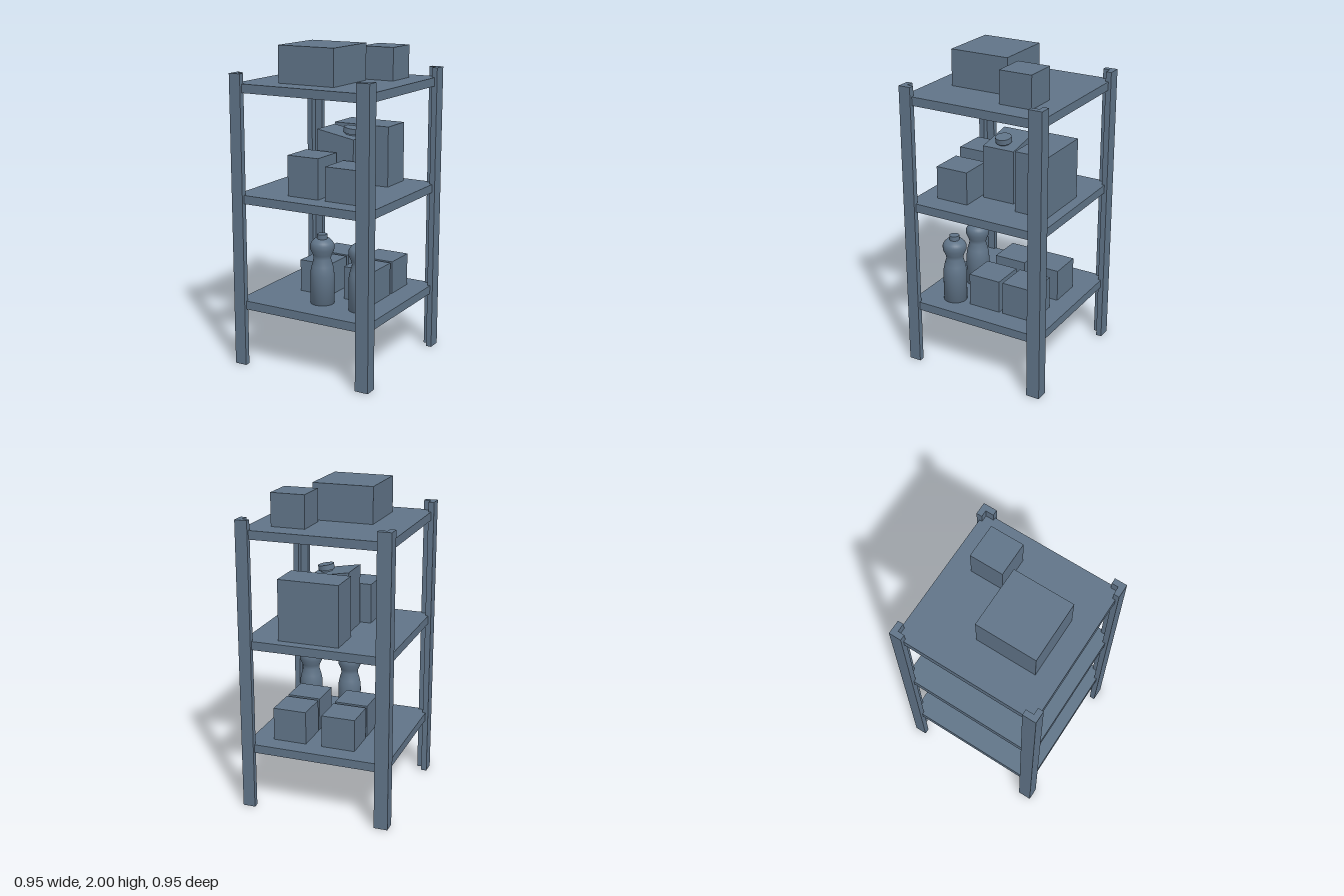
import * as THREE from 'three';

const slate = new THREE.MeshStandardMaterial({ color: 0x607488 });
slate.name = 'slate blue';

export function createModel() {
  const model = new THREE.Group();
  model.name = 'storageRack';

  const add = (name, geometry, parent = model) => {
    const mesh = new THREE.Mesh(geometry, slate);
    mesh.name = name;
    parent.add(mesh);
    return mesh;
  };

  // Box given by its extents along each axis
  const box = (name, x0, x1, y0, y1, z0, z1) =>
    add(name, new THREE.BoxGeometry(x1 - x0, y1 - y0, z1 - z0))
      .position.set((x0 + x1) / 2, (y0 + y1) / 2, (z0 + z1) / 2);

  // Upright shape extruded from a list of points
  const extrude = (points, depth) => new THREE.ExtrudeGeometry(
    new THREE.Shape(points.map(([x, y]) => new THREE.Vector2(x, y))),
    { depth, bevelEnabled: false });

  // Four angle-section posts, each a quarter turn from the last
  const o = 0.476, t = 0.036;
  const postGeometry = extrude([
    [-o, o], [-o, 0.398], [-o + t, 0.398], [-o + t, o - t], [-0.389, o - t], [-0.389, o],
  ], 1.835).rotateX(-Math.PI / 2);
  for (let i = 0; i < 4; i++) add('cornerPost', postGeometry).rotation.y = i * Math.PI / 2;

  // Shelves
  const levels = [0.42, 1.096, 1.774];
  for (const y of levels) box('shelf', -0.458, 0.458, y - 0.054, y, -0.458, 0.458);
  const [low, mid, high] = levels;

  // Boxes on the top shelf
  box('largeTopBox', -0.23, 0.153, high, 2, -0.067, 0.318);
  box('smallTopBox', 0.102, 0.316, high, 1.976, -0.32, -0.108);

  // Boxes on the middle shelf
  box('middleBoxRight', -0.16, 0.054, mid, 1.348, 0.121, 0.335);
  box('middleBoxLeft', 0.102, 0.316, mid, 1.305, 0.121, 0.335);
  box('tallBackBox', -0.132, 0.252, mid, 1.478, -0.392, -0.176);

  // Canister with a sloping top and a tilted cap
  const canister = new THREE.Group();
  canister.name = 'canister';
  model.add(canister);
  add('canisterBody', extrude([[-0.095, mid], [0.16, mid], [0.16, 1.433], [-0.095, 1.478]], 0.212), canister)
    .position.z = -0.112;
  const cap = new THREE.Group();
  cap.name = 'canisterCap';
  cap.position.set(0.085, 1.446, -0.003);
  cap.rotation.z = -Math.atan2(0.045, 0.255);
  canister.add(cap);
  add('capNeck', new THREE.CylinderGeometry(0.038, 0.038, 0.02, 24), cap).position.y = 0.003;
  add('capLid', new THREE.CylinderGeometry(0.05, 0.05, 0.034, 24), cap).position.y = 0.027;

  // Four boxes at the back of the bottom shelf
  for (const [z0, z1] of [[-0.34, -0.127], [-0.102, 0.111]]) {
    box('lowBoxLeft', 0.102, 0.316, low, 0.63, z0, z1);
    box('lowBoxRight', -0.216, -0.002, low, 0.625, z0, z1);
  }

  // Two waisted bottles with caps
  const profile = [
    [0, 0], [0.074, 0], [0.074, 0.18], [0.072, 0.21], [0.066, 0.24], [0.053, 0.285],
    [0.058, 0.31], [0.074, 0.345], [0.074, 0.375], [0.066, 0.39], [0.047, 0.41], [0, 0.41],
  ].map(([r, y]) => new THREE.Vector2(r, y));
  const bottleGeometry = new THREE.LatheGeometry(profile, 32);
  const bottleCapGeometry = new THREE.CylinderGeometry(0.031, 0.031, 0.034, 24);
  for (const x of [0.021, 0.291]) {
    const bottle = new THREE.Group();
    bottle.name = 'bottle';
    bottle.position.set(x, low, 0.235);
    model.add(bottle);
    add('bottleBody', bottleGeometry, bottle);
    add('bottleCap', bottleCapGeometry, bottle).position.y = 0.423;
  }

  return model;
}
